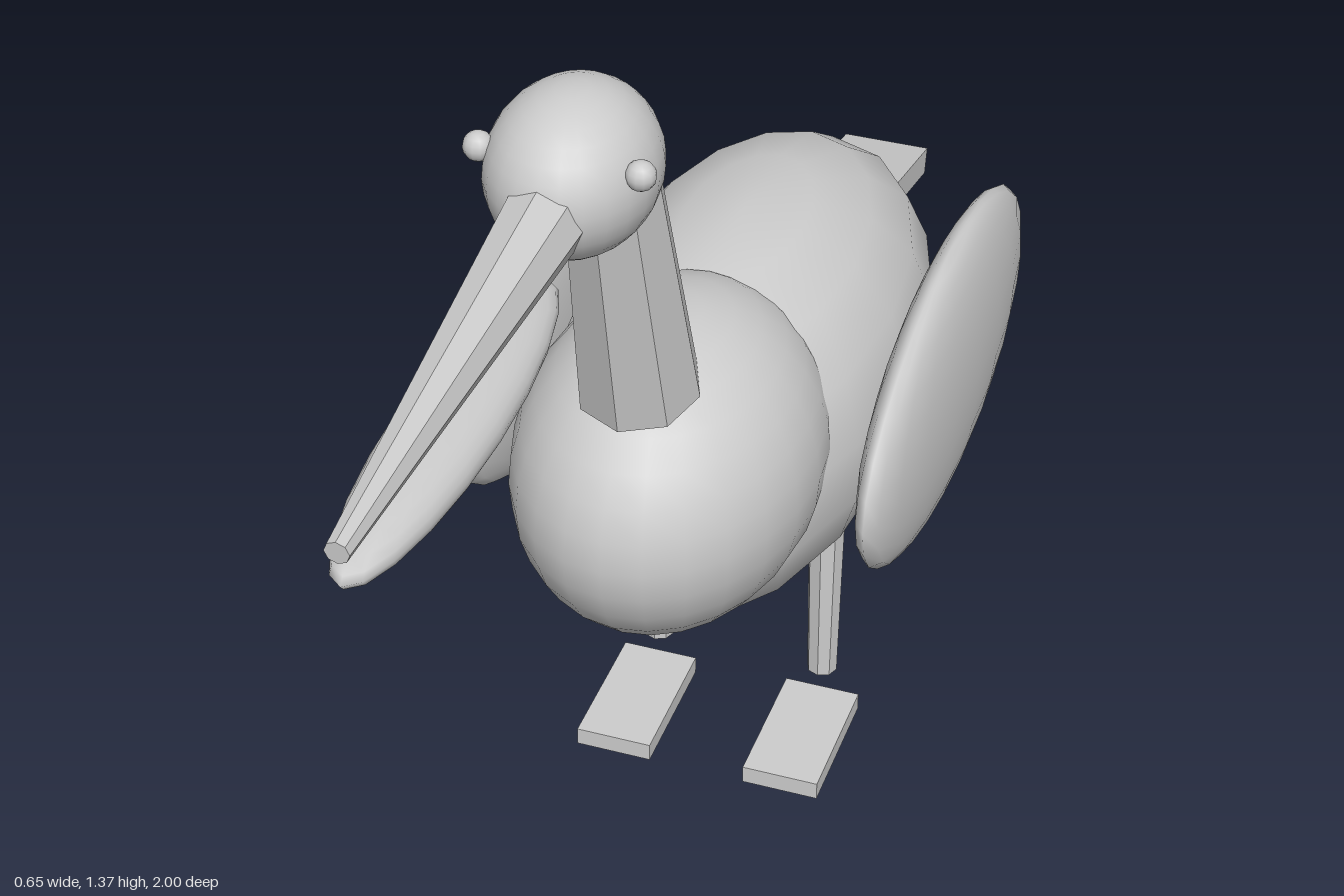
import * as THREE from 'three';

export function createModel() {
  const bird = new THREE.Group();
  bird.name = 'longBilledBird';
  const grey = new THREE.MeshStandardMaterial({ color: 0xcccccc });
  grey.name = 'plain grey';

  function add(name, geometry, x, y, z) {
    // faceted pieces get one normal per face
    const mesh = new THREE.Mesh(geometry, grey);
    mesh.name = name;
    mesh.position.set(x, y, z);
    bird.add(mesh);
    return mesh;
  }

  // smooth ellipsoid from centre and radii
  function ellipsoid(name, [x, y, z], [rx, ry, rz], cols = 20, rows = 14) {
    return add(name, new THREE.SphereGeometry(1, cols, rows).scale(rx, ry, rz), x, y, z);
  }

  // faceted tapered rod between two points
  function rod(name, from, to, r0, r1, sides = 8) {
    const a = new THREE.Vector3(...from), b = new THREE.Vector3(...to);
    const axis = b.clone().sub(a);
    const geometry = new THREE.CylinderGeometry(r1, r0, axis.length(), sides).toNonIndexed();
    geometry.computeVertexNormals();
    const mid = a.add(b).multiplyScalar(0.5);
    const mesh = add(name, geometry, mid.x, mid.y, mid.z);
    mesh.quaternion.setFromUnitVectors(new THREE.Vector3(0, 1, 0), axis.normalize());
    return mesh;
  }

  // body, chest and tail
  ellipsoid('body', [0, 0.58, -0.285], [0.24, 0.26, 0.477], 16, 9);
  ellipsoid('chest', [0, 0.645, 0.01], [0.2, 0.22, 0.27], 24, 16);
  const tail = add('tail', new THREE.BoxGeometry(0.13, 0.04, 0.3), 0, 0.54, -0.85);
  tail.rotation.x = -0.22;

  // neck and head
  rod('neck', [0, 0.833, 0.133], [0, 1.24, 0.236], 0.08, 0.058);
  ellipsoid('head', [0, 1.27, 0.338], [0.1, 0.1, 0.122], 24, 16);

  // bill with hanging pouch
  rod('upperBill', [0, 1.257, 0.42], [0, 1.217, 0.999], 0.05, 0.014);
  ellipsoid('billPouch', [0, 1.173, 0.712], [0.058, 0.037, 0.285]);

  // paired parts
  for (const [side, s] of [['left', 1], ['right', -1]]) {
    ellipsoid(side + 'Eye', [s * 0.095, 1.303, 0.384], [0.018, 0.018, 0.018], 12, 8);
    ellipsoid(side + 'Wing', [s * 0.275, 0.62, -0.312], [0.05, 0.19, 0.38]);
    rod(side + 'Leg', [s * 0.125, 0.07, -0.295], [s * 0.125, 0.38, -0.295], 0.022, 0.027);
    add(side + 'Foot', new THREE.BoxGeometry(0.11, 0.027, 0.205), s * 0.125, 0.0135, -0.198);
  }
  return bird;
}
